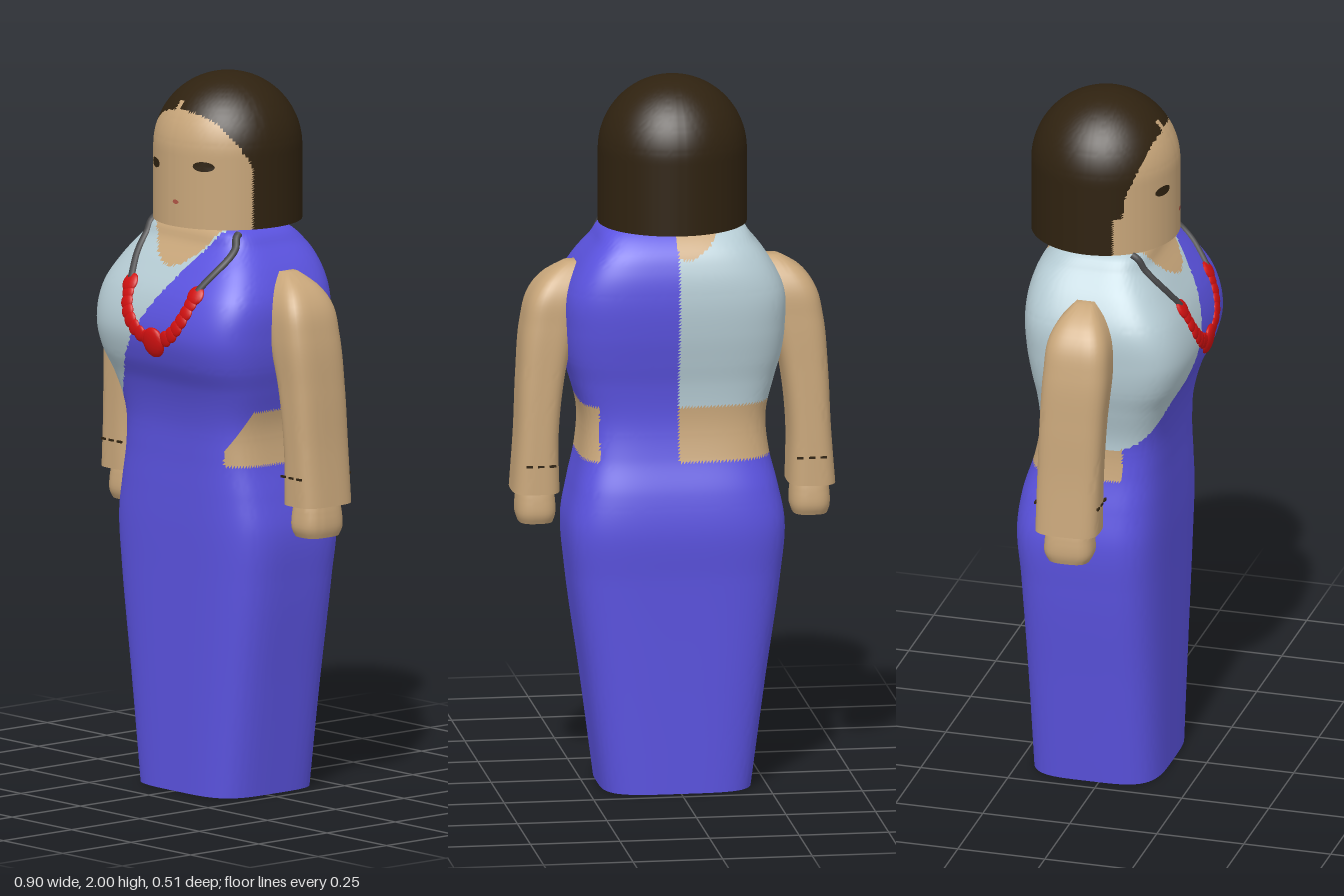
import * as THREE from 'three';
import { toCreasedNormals } from 'three/addons/utils/BufferGeometryUtils.js';

const mat = (name, color) => Object.assign(new THREE.MeshStandardMaterial({ color }), { name });

// Smooth rows [y, xc, zc, hx, hz] through a few key cross-sections
function spline(keys) {
  const curve = new THREE.CubicInterpolant(keys.map(k => k[0]), keys.flatMap(k => k.slice(1)), 4);
  return y => [y, ...curve.evaluate(y)];
}
function sampleRows(keys, n) {
  const at = spline(keys), y0 = keys[0][0], y1 = keys[keys.length - 1][0];
  return Array.from({ length: n + 1 }, (_, i) => at(y0 + (y1 - y0) * i / n));
}

// Closed loft of superellipse sections; pick(x, y, z) chooses the material of each face
function loft(name, rows, power, around, materials, pick = () => 0) {
  const first = rows[0], last = rows[rows.length - 1];
  const all = [[...first.slice(0, 3), 0, 0], ...rows, [...last.slice(0, 3), 0, 0]];
  const pts = [], faces = materials.map(() => []);
  for (const [y, xc, zc, hx, hz] of all) {
    for (let j = 0; j < around; j++) {
      const a = j / around * Math.PI * 2, c = Math.cos(a), s = Math.sin(a);
      const r = (Math.abs(c) ** power + Math.abs(s) ** power) ** (-1 / power);
      pts.push(new THREE.Vector3(xc + hx * r * c, y, zc + hz * r * s));
    }
  }
  const mid = new THREE.Vector3();
  const addFace = (...ids) => {
    const tri = new THREE.Triangle(...ids.map(i => pts[i]));
    if (tri.getArea() < 1e-9) return;
    tri.getMidpoint(mid);
    faces[pick(mid.x, mid.y, mid.z)].push(...ids);
  };
  for (let i = 0; i < all.length - 1; i++) {
    for (let j = 0; j < around; j++) {
      const a = i * around + j, b = i * around + (j + 1) % around;
      addFace(a, a + around, b);
      addFace(b, a + around, b + around);
    }
  }
  const geo = new THREE.BufferGeometry().setFromPoints(pts);
  geo.setIndex(faces.flat());
  let start = 0;
  faces.forEach((f, m) => { geo.addGroup(start, f.length, m); start += f.length; });
  const mesh = new THREE.Mesh(toCreasedNormals(geo, 0.9), materials);
  mesh.name = name;
  return mesh;
}

// Body sections given as y, half width, front z, back z
const bodyKeys = [
  [0, .21, .155, -.215], [.3, .25, .16, -.225], [.6, .292, .165, -.238], [.75, .303, .168, -.248],
  [.85, .285, .168, -.235], [.95, .262, .168, -.205], [1.05, .256, .174, -.189], [1.15, .28, .2, -.194],
  [1.22, .3, .233, -.207], [1.3, .31, .25, -.22], [1.4, .306, .225, -.225], [1.48, .268, .175, -.213],
  [1.54, .222, .13, -.185], [1.59, .175, .1, -.13], [1.62, .08, .03, -.07],
].map(([y, hx, f, b]) => [y, 0, (f + b) / 2, hx, (f - b) / 2]);

const armKeys = [
  [.84, .385, -.035, .066, .09], [1, .38, -.032, .059, .09], [1.16, .368, -.027, .064, .091],
  [1.31, .345, -.02, .074, .092], [1.4, .322, -.02, .072, .082], [1.45, .295, -.02, .056, .055],
  [1.48, .27, -.02, .03, .025],
];
const handKeys = [
  [.75, .383, -.033, .047, .058], [.77, .383, -.033, .054, .068], [.81, .383, -.033, .054, .068],
  [.85, .383, -.033, .048, .062],
];

// Draped cloth: 0 cloth, 1 blouse, 2 skin
function bodyColour(x, y, z) {
  if (y < 0.001) return 2;
  const midriff = y > .94 && y < 1.09;
  if (x > .2 && midriff && z < .17 - (y - .945) * .55 && (z > -.1 || x > .22)) return 2;
  if (z > -.03) {
    if (y < 1.05 + 1.4 * (x + .24)) return x < -.2 && midriff && z < .08 ? 2 : 0;
    return y > 1.48 + 6 * x * x ? 2 : 1;
  }
  if (x > .005 || y < .94) return 0;
  return midriff || y > 1.51 + 8 * (x + .02) ** 2 ? 2 : 1;
}

const HEAD_R = .206, HEAD_Z = -.04, DOME_Y = 1.794;

// Head: 0 skin, 1 hair
function headColour(x, y, z) {
  if (z < .035) return 1;
  if (Math.abs(x + .016) < .009 && y < 1.935) return 0;
  if (y < 1.7) return 0;
  return Math.abs((x - .008) / .188) ** 2.4 + ((y - 1.7) / .21) ** 2.4 < 1 ? 0 : 1;
}

export function createModel() {
  const model = new THREE.Group();
  const cloth = mat('blue cloth', 0x5b53e0), blouse = mat('pale blouse', 0xb6ccd4);
  const skin = mat('skin', 0xc8a67a), hair = mat('dark hair', 0x2f2210);
  const red = mat('red beads', 0xd01010), cord = mat('grey cord', 0x444446), lip = mat('lip', 0xb05545);

  model.add(loft('dressedBody', sampleRows(bodyKeys, 170), 4, 192, [cloth, blouse, skin], bodyColour));

  // Head: cylinder with a domed crown
  const headRows = [];
  for (let i = 0; i < 32; i++) headRows.push([1.59 + (DOME_Y - 1.59) * i / 32, 0, HEAD_Z, HEAD_R, HEAD_R]);
  for (let i = 0; i < 36; i++) {
    const a = i / 36 * Math.PI / 2, r = HEAD_R * Math.cos(a);
    headRows.push([DOME_Y + HEAD_R * Math.sin(a), 0, HEAD_Z, r, r]);
  }
  headRows.push([DOME_Y + HEAD_R, 0, HEAD_Z, 0, 0]);
  model.add(loft('head', headRows, 2, 144, [skin, hair], headColour));

  // Eyes and mouth: thin plates wrapped onto the face
  const facePlate = (name, material, x, y, rx, ry) => {
    const geo = new THREE.CircleGeometry(1, 20).scale(rx, ry, 1).translate(x, y, 0), p = geo.attributes.position;
    for (let i = 0; i < p.count; i++) p.setZ(i, HEAD_Z + Math.sqrt((HEAD_R + .002) ** 2 - p.getX(i) ** 2));
    geo.computeVertexNormals();
    const mesh = new THREE.Mesh(geo, material);
    mesh.name = name;
    model.add(mesh);
  };
  facePlate('rightEye', hair, -.085, 1.755, .028, .014);
  facePlate('leftEye', hair, .103, 1.766, .028, .014);
  facePlate('mouth', lip, .018, 1.66, .011, .006);

  // Arms with hands and broken bangle lines
  for (const [side, label] of [[1, 'left'], [-1, 'right']]) {
    const flip = keys => keys.map(([y, xc, ...rest]) => [y, side * xc, ...rest]);
    model.add(loft(label + 'Arm', sampleRows(flip(armKeys), 40), 3.5, 48, [skin]));
    model.add(loft(label + 'Hand', sampleRows(flip(handKeys), 10), 3, 36, [skin]));
    for (const x of [.345, .378, .41]) {
      for (const z of [.056, -.123]) {
        const dash = new THREE.Mesh(new THREE.BoxGeometry(.018, .006, .006), hair);
        dash.position.set(side * x, .92, z);
        dash.name = label + 'Bangle';
        model.add(dash);
      }
    }
  }

  // Necklace laid on the chest
  const bodyAt = spline(bodyKeys);
  const onChest = (x, y) => {
    const [, , zc, hx, hz] = bodyAt(y);
    const k = Math.min(Math.abs(x / hx), .985);
    return new THREE.Vector3(x, y, zc + hz * (1 - k ** 4) ** .25);
  };
  const chestPath = pts => new THREE.CatmullRomCurve3(
    new THREE.CatmullRomCurve3(pts.map(([x, y]) => new THREE.Vector3(x, y, 0)))
      .getPoints(16).map(p => onChest(p.x, p.y)));
  for (const [name, pts] of [
    ['rightCord', [[-.163, 1.585], [-.154, 1.51], [-.12, 1.43]]],
    ['leftCord', [[.178, 1.58], [.194, 1.52], [.155, 1.43]]],
  ]) {
    const mesh = new THREE.Mesh(new THREE.TubeGeometry(chestPath(pts), 30, .011, 8), cord);
    mesh.name = name;
    model.add(mesh);
  }
  const beadPath = chestPath([[-.118, 1.42], [-.1, 1.355], [-.05, 1.3], [.02, 1.28], [.085, 1.3], [.13, 1.355], [.153, 1.42]]);
  const addBead = (name, p, r) => {
    const e = .004;
    const dx = onChest(p.x + e, p.y).sub(onChest(p.x - e, p.y));
    const dy = onChest(p.x, p.y + e).sub(onChest(p.x, p.y - e));
    const bead = new THREE.Mesh(new THREE.SphereGeometry(r, 14, 10), red);
    bead.position.copy(p);
    bead.quaternion.setFromUnitVectors(new THREE.Vector3(0, 0, 1), dx.cross(dy).normalize());
    bead.scale.z = .35;
    bead.name = name;
    model.add(bead);
  };
  for (let i = 0; i <= 16; i++) addBead('bead', beadPath.getPointAt(i / 16), i % 16 ? .023 : .029);
  addBead('pendant', onChest(.02, 1.275), .043);

  return model;
}
